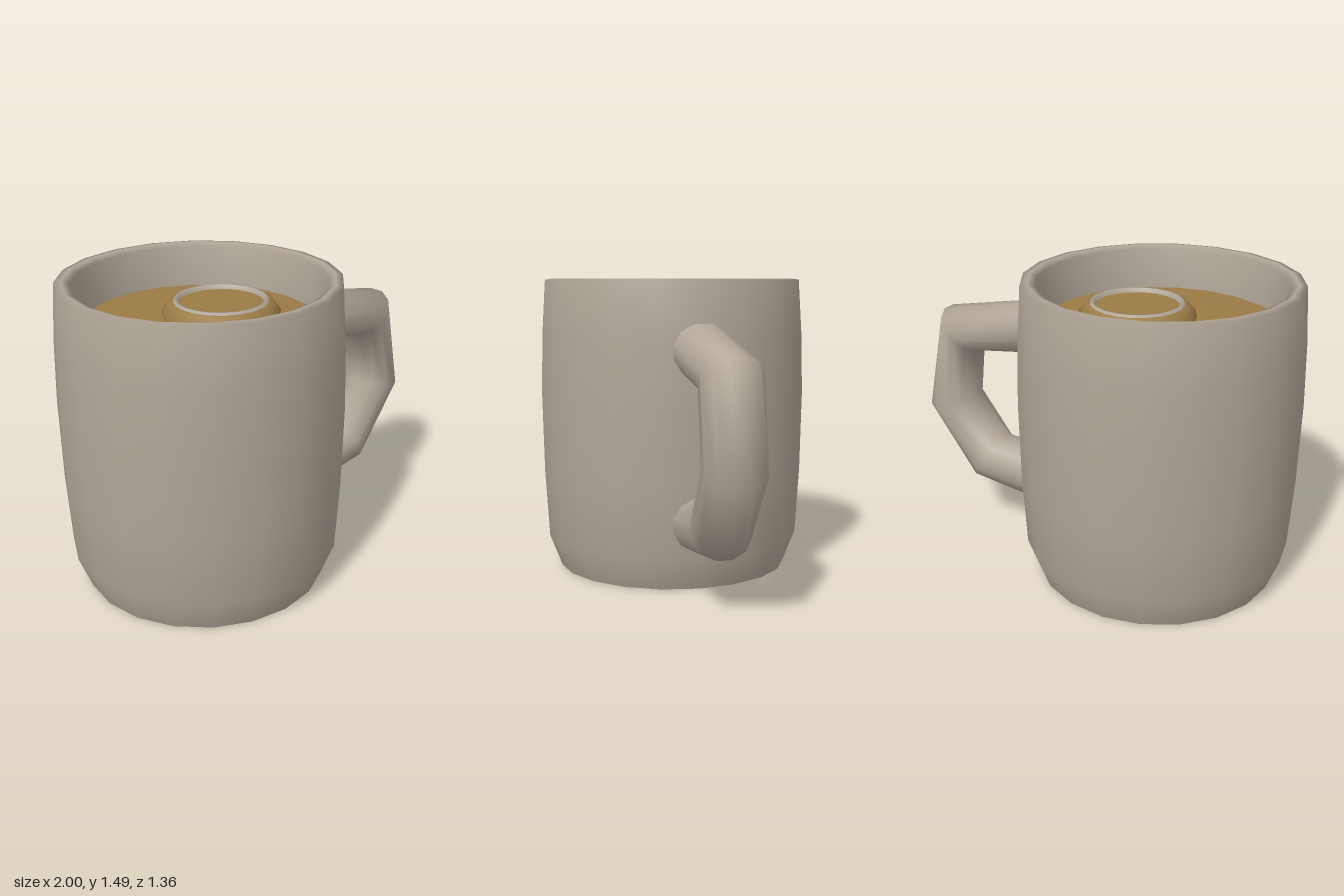
import * as THREE from 'three';

const SIDES = 20;
const CUP_X = -0.32;

// Smooth turned surface from [radius, height] pairs
function turned(name, profile, material, x) {
  const points = profile.map(([r, y]) => new THREE.Vector2(r, y));
  const mesh = new THREE.Mesh(new THREE.LatheGeometry(points, SIDES), material);
  mesh.name = name;
  mesh.position.x = x;
  return mesh;
}

// Sweep a 12-sided section between matching [x, y] points on the outer and inner edge
function handleGeometry(outer, inner, halfWidth) {
  const n = 12, k = 1 / Math.cos(Math.PI / n);
  const pos = [], idx = [];
  outer.forEach(([ox, oy], i) => {
    const [ix, iy] = inner[i];
    for (let j = 0; j < n; j++) {
      const a = (j + 0.5) / n * Math.PI * 2;
      const c = Math.cos(a) * k / 2;
      pos.push((ox + ix) / 2 + (ox - ix) * c, (oy + iy) / 2 + (oy - iy) * c, Math.sin(a) * k * halfWidth);
      if (i < outer.length - 1) {
        const p = i * n + j, q = i * n + (j + 1) % n;
        idx.push(p, p + n, q, q, p + n, q + n);
      }
    }
  });
  const g = new THREE.BufferGeometry();
  g.setAttribute('position', new THREE.Float32BufferAttribute(pos, 3));
  g.setIndex(idx);
  g.computeVertexNormals();
  return g;
}

export function createModel() {
  const model = new THREE.Group();
  model.name = 'mug';
  const ceramic = new THREE.MeshStandardMaterial({ name: 'warm grey ceramic', color: 0xb0a698 });
  const drink = new THREE.MeshStandardMaterial({ name: 'golden brown drink', color: 0x9a7b44 });
  ceramic.side = THREE.DoubleSide;

  // Cup wall: outside, rim and inside in one profile
  model.add(turned('cupWall', [
    [0.59, 0], [0.652, 0.16], [0.672, 0.5], [0.68, 0.9], [0.673, 1.2], [0.655, 1.48],
    [0.62, 1.485], [0.585, 1.47], [0.57, 1.25],
  ], ceramic, CUP_X));

  // Underside
  const base = new THREE.Mesh(new THREE.CircleGeometry(0.59, SIDES), ceramic);
  base.name = 'cupBase';
  base.rotation.x = Math.PI / 2;
  base.position.x = CUP_X;
  model.add(base);

  // Drink surface with a softened edge
  model.add(turned('drink', [[0.575, 1.25], [0.565, 1.27], [0.545, 1.28], [0, 1.28]], drink, CUP_X));

  // Raised round piece floating off centre, with a pale ring on top
  const floatX = -0.195;
  model.add(turned('floatSide', [[0.27, 1.27], [0.28, 1.3], [0.245, 1.345], [0.22, 1.35]], drink, floatX));
  model.add(turned('floatRing', [[0.226, 1.345], [0.22, 1.36], [0.207, 1.36], [0.198, 1.335]], ceramic, floatX));
  model.add(turned('floatCentre', [[0.205, 1.34], [0, 1.34]], drink, floatX));

  // Angular handle
  const handle = new THREE.Mesh(handleGeometry(
    [[0.27, 1.295], [0.89, 1.17], [1.0, 0.64], [0.72, 0.26], [0.27, 0.19]],
    [[0.27, 1.03], [0.72, 0.97], [0.74, 0.7], [0.58, 0.49], [0.27, 0.455]],
    0.14), ceramic);
  handle.name = 'handle';
  model.add(handle);

  return model;
}
